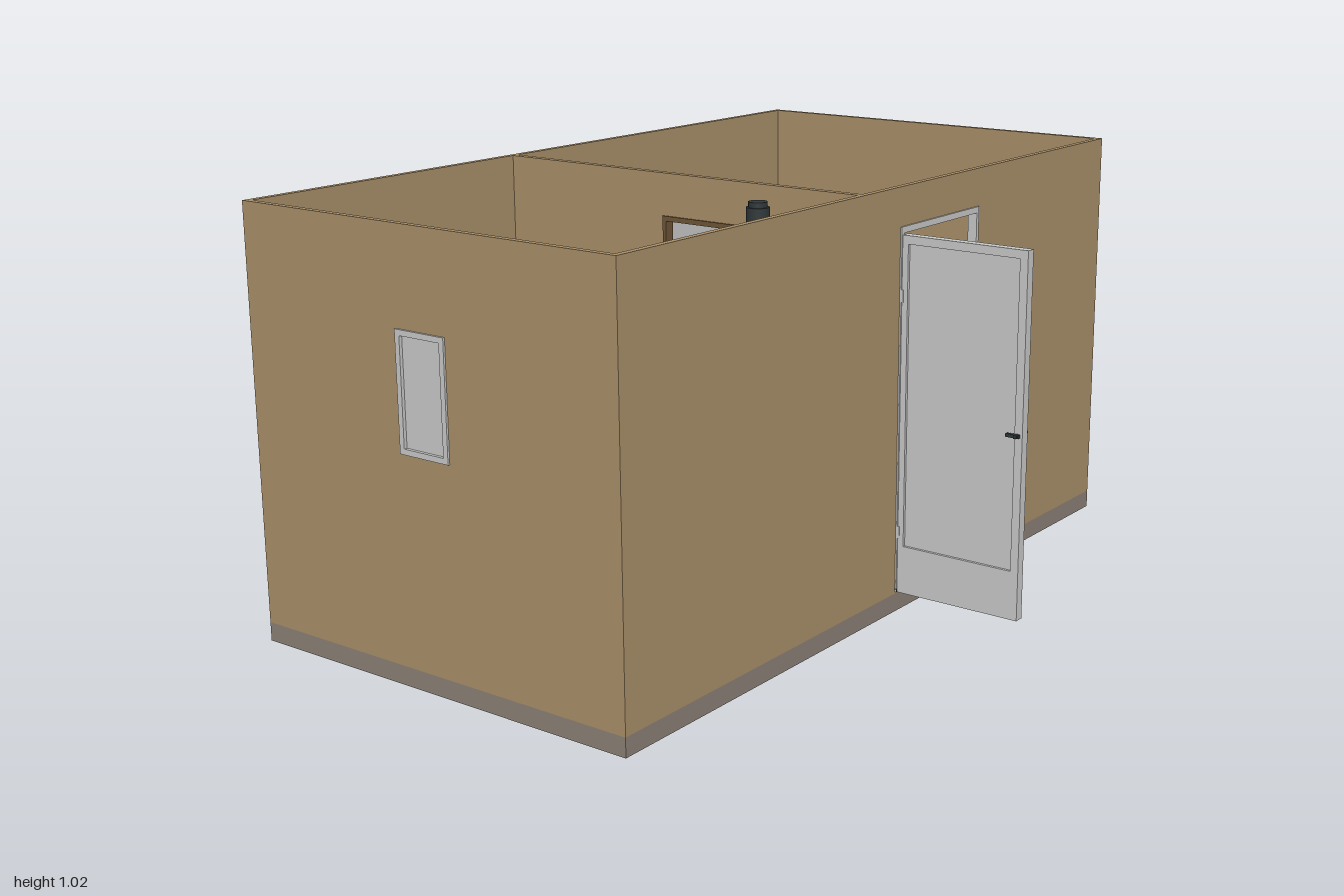
import * as THREE from 'three';
import { RoundedBoxGeometry } from 'three/addons/geometries/RoundedBoxGeometry.js';

const mat = (name, color) => {
  const m = new THREE.MeshStandardMaterial({ color });
  m.name = name;
  return m;
};

export function createModel() {
  const wood = mat('wood', 0xa98f68);
  const plinth = mat('plinth', 0x8b8176);
  const pale = mat('pale grey', 0xc8cac8);
  const iron = mat('dark iron', 0x30383a);
  const stone = mat('stove stone', 0x4a4e4e);
  const brown = mat('dark wood', 0x6e5437);
  const root = new THREE.Group();
  root.name = 'saunaCabin';

  const group = (name) => {
    const g = new THREE.Group();
    g.name = name;
    root.add(g);
    return g;
  };
  const add = (parent, name, geo, m, x = 0, y = 0, z = 0) => {
    const mesh = new THREE.Mesh(geo, m);
    mesh.name = name;
    mesh.position.set(x, y, z);
    parent.add(mesh);
    return mesh;
  };
  // Box given by its limits on each axis
  const box = (parent, name, m, x0, x1, y0, y1, z0, z1) =>
    add(parent, name, new THREE.BoxGeometry(x1 - x0, y1 - y0, z1 - z0), m, (x0 + x1) / 2, (y0 + y1) / 2, (z0 + z1) / 2);
  // Upright slab with rectangular holes; across 'z' spans x, across 'x' spans z
  const slab = (parent, name, m, across, from, to, [u0, u1, y0, y1], holes = []) => {
    const rect = (P, [a, b, c, d]) => new P().moveTo(a, c).lineTo(b, c).lineTo(b, d).lineTo(a, d).closePath();
    const shape = rect(THREE.Shape, [u0, u1, y0, y1]);
    holes.forEach((h) => shape.holes.push(rect(THREE.Path, h)));
    const geo = new THREE.ExtrudeGeometry(shape, { depth: to - from, bevelEnabled: false });
    if (across === 'x') geo.rotateY(-Math.PI / 2).translate(to, 0, 0);
    else geo.translate(0, 0, from);
    return add(parent, name, geo, m);
  };
  const ring = (parent, name, m, across, from, to, [a, b, c, d], w) =>
    slab(parent, name, m, across, from, to, [a, b, c, d], [[a + w, b - w, c + w, d - w]]);

  // Shell
  const X0 = -0.995, X1 = 0.99, Z0 = -0.695, Z1 = 0.365, T = 0.015, H = 1.022, F = 0.05;
  const shell = group('shell');
  box(shell, 'foundation', plinth, X0, X1, 0, 0.045, Z0, Z1);
  box(shell, 'floor', wood, X0 + T, X1 - T, 0.045, F, Z0 + T, Z1 - T);
  const frontDoor = [0, 0.345, F, 0.93], innerDoor = [-0.2, 0.095, F, 0.92];
  const rightWin = [-0.485, -0.22, 0.4, 0.665], leftWin = [-0.235, -0.095, 0.53, 0.8];
  slab(shell, 'frontWall', wood, 'z', Z1 - T, Z1, [X0, X1, 0.045, H], [frontDoor]);
  slab(shell, 'backWall', wood, 'z', Z0, Z0 + T, [X0, X1, 0.045, H]);
  slab(shell, 'leftWall', wood, 'x', X1 - T, X1, [Z0 + T, Z1 - T, 0.045, H], [rightWin]);
  slab(shell, 'rightWall', wood, 'x', X0, X0 + T, [Z0 + T, Z1 - T, 0.045, H], [leftWin]);
  slab(shell, 'partition', wood, 'x', -0.156, -0.138, [Z0 + T, Z1 - T, F, H], [innerDoor]);

  // Windows: frame and pane
  const windows = group('windows');
  ring(windows, 'windowFrame', pale, 'x', X1 - T - 0.005, X1 + 0.006, rightWin, 0.015);
  slab(windows, 'windowPane', pale, 'x', X1 - 0.008, X1 - 0.003, [-0.472, -0.233, 0.413, 0.652]);
  ring(windows, 'windowFrame', pale, 'x', X0 - 0.005, X0 + T + 0.005, leftWin, 0.013);
  slab(windows, 'windowPane', pale, 'x', X0 + 0.003, X0 + 0.008, [-0.224, -0.106, 0.541, 0.789]);

  // Front door, standing open
  const door = group('frontDoor');
  slab(door, 'doorFrame', pale, 'z', Z1 - T - 0.005, Z1 + 0.004, frontDoor, [[0.01, 0.335, F + 0.002, 0.915]]);
  box(door, 'threshold', iron, 0, 0.345, F, 0.058, 0.335, 0.37);
  slab(door, 'doorLeaf', pale, 'x', 0.002, 0.026, [0.37, 0.693, F, 0.912], [[0.385, 0.673, 0.167, 0.892]]);
  slab(door, 'doorPane', pale, 'x', 0.009, 0.019, [0.384, 0.674, 0.166, 0.893]);
  for (const x of [-0.004, 0.032]) {
    box(door, 'handleStem', iron, x - 0.008, x + 0.008, 0.486, 0.494, 0.677, 0.685);
    box(door, 'handleLever', iron, x - 0.004, x + 0.004, 0.486, 0.494, 0.655, 0.688);
  }
  for (const y of [0.2, 0.77]) box(door, 'hinge', pale, 0.0, 0.03, y - 0.015, y + 0.015, 0.366, 0.374);

  // Inner door, swung into the dressing room
  const inner = group('innerDoor');
  slab(inner, 'innerDoorFrame', brown, 'x', -0.16, -0.134, innerDoor, [[-0.19, 0.085, F + 0.002, 0.908]]);
  box(inner, 'innerDoorLeaf', pale, -0.134, 0.152, 0.055, 0.912, -0.209, -0.202);
  for (const z of [-0.218, -0.193]) {
    box(inner, 'innerHandle', brown, 0.117, 0.129, 0.462, 0.53, z - 0.004, z + 0.004);
    for (const y of [0.475, 0.517]) box(inner, 'handlePost', brown, 0.12, 0.126, y - 0.004, y + 0.004, Math.min(z, -0.205), Math.max(z, -0.205));
  }

  // Rows of planks running along x or z
  const GAP = 0.008;
  const planks = (parent, name, along, n, x0, x1, y0, y1, z0, z1) => {
    for (let i = 0; i < n; i++) {
      const [a, b] = along === 'x' ? [z0, z1] : [x0, x1];
      const step = (b - a + GAP) / n, p = a + i * step, q = p + step - GAP;
      if (along === 'x') box(parent, name, wood, x0, x1, y0, y1, p, q);
      else box(parent, name, wood, p, q, y0, y1, z0, z1);
    }
  };
  // Two-tier sauna benches in an L
  const sauna = group('saunaBenches');
  const xi = X0 + T, zi = Z0 + T, UP = 0.47, LOW = 0.26, PL = 0.016;
  planks(sauna, 'upperSlat', 'z', 7, xi, -0.69, UP - PL, UP, zi, 0.345);
  planks(sauna, 'upperSlat', 'x', 6, -0.682, -0.158, UP - PL, UP, zi, -0.415);
  planks(sauna, 'lowerSlat', 'z', 3, -0.682, -0.56, LOW - PL, LOW, -0.415, 0.345);
  planks(sauna, 'lowerSlat', 'x', 3, -0.552, -0.158, LOW - PL, LOW, -0.407, -0.287);
  const post = (x, z, top) => box(sauna, 'benchPost', wood, x - 0.012, x + 0.012, F, top - PL, z - 0.012, z + 0.012);
  box(sauna, 'upperRail', wood, -0.715, -0.695, UP - 0.055, UP - PL, zi, 0.34);
  box(sauna, 'upperRail', wood, -0.695, -0.16, UP - 0.055, UP - PL, -0.44, -0.42);
  box(sauna, 'lowerRail', wood, -0.585, -0.565, LOW - 0.055, LOW - PL, -0.3, 0.34);
  box(sauna, 'lowerRail', wood, -0.565, -0.16, LOW - 0.055, LOW - PL, -0.312, -0.292);
  for (const z of [-0.43, -0.05, 0.325]) post(-0.705, z, UP);
  for (const z of [-0.302, 0.02, 0.325]) post(-0.575, z, LOW);
  post(-0.18, -0.43, UP);
  post(-0.18, -0.302, LOW);

  // Stove with stones, flue and a fire tunnel through the partition
  const stove = group('stove');
  box(stove, 'stoveBody', iron, -0.405, -0.22, 0.08, 0.36, 0.12, 0.32);
  const rim = ring(stove, 'stoveRim', iron, 'z', 0, 0.05, [-0.41, -0.215, -0.325, -0.115], 0.02);
  rim.rotation.x = -Math.PI / 2;
  rim.position.y = 0.36;
  box(stove, 'fireTunnel', iron, -0.22, -0.132, 0.09, 0.3, 0.165, 0.275);
  box(stove, 'fireDoor', iron, -0.134, -0.126, 0.1, 0.28, 0.172, 0.268);
  box(stove, 'fireDoorHandle', iron, -0.126, -0.112, 0.17, 0.21, 0.18, 0.19);
  for (const x of [-0.39, -0.235]) for (const z of [0.135, 0.305]) box(stove, 'stoveLeg', iron, x - 0.01, x + 0.01, F, 0.08, z - 0.01, z + 0.01);
  const rock = new THREE.IcosahedronGeometry(0.02, 0);
  for (let i = 0; i < 5; i++) for (let j = 0; j < 5; j++) {
    const x = -0.374 + i * 0.03, z = 0.155 + j * 0.0325;
    if (Math.hypot(x + 0.35, z - 0.22) < 0.03) continue;
    const r = add(stove, 'stone', rock, stone, x, 0.39 + ((i * 3 + j * 2) % 4) * 0.007, z);
    r.rotation.set(i * 1.3, j * 0.9, i + j);
    r.scale.y = 0.8;
  }
  add(stove, 'flue', new THREE.CylinderGeometry(0.026, 0.026, 0.65, 24), iron, -0.35, 0.685, 0.22);
  add(stove, 'flueTop', new THREE.CylinderGeometry(0.021, 0.021, 0.02, 24), iron, -0.35, 1.012, 0.22);

  // Firewood basket by the fire door
  const basket = group('firewoodBasket');
  for (const [a, b, c, d] of [[-0.125, -0.119, 0.29, 0.34], [-0.056, -0.05, 0.29, 0.34], [-0.119, -0.056, 0.29, 0.296], [-0.119, -0.056, 0.334, 0.34]])
    box(basket, 'basketSide', iron, a, b, F, 0.13, c, d);
  for (let i = 0; i < 3; i++) box(basket, 'log', brown, -0.115 + i * 0.02, -0.1 + i * 0.02, F, 0.12, 0.3, 0.33);

  // Table and two benches in the dressing room
  const plankTable = (name, n, z0, z1, top) => {
    const g = group(name);
    planks(g, 'plank', 'x', n, 0.268, 0.972, top - 0.016, top, z0, z1);
    for (const x of [0.3, 0.94]) {
      box(g, 'crossRail', wood, x - 0.012, x + 0.012, top - 0.06, top - 0.016, z0 + 0.02, z1 - 0.02);
      for (const z of [z0 + 0.032, z1 - 0.032]) box(g, 'leg', wood, x - 0.014, x + 0.014, F, top - 0.016, z - 0.014, z + 0.014);
    }
    box(g, 'stretcher', wood, 0.3, 0.94, top - 0.055, top - 0.03, (z0 + z1) / 2 - 0.01, (z0 + z1) / 2 + 0.01);
    return g;
  };
  const table = plankTable('table', 4, -0.46, -0.217, 0.385);
  for (const [z0, z1] of [[-0.68, -0.483], [-0.195, 0]]) {
    const bench = plankTable('bench', 4, z0, z1, 0.245);
    add(bench, 'pillow', new RoundedBoxGeometry(0.208, 0.066, 0.138, 5, 0.032), pale, 0.408, 0.278, (z0 + z1) / 2 + 0.002);
  }
  // Crockery
  const bowl = [[0, 0], [0.025, 0], [0.03, 0.006], [0.052, 0.022], [0.048, 0.022], [0.026, 0.009], [0, 0.008]].map((p) => new THREE.Vector2(...p));
  add(table, 'bowl', new THREE.LatheGeometry(bowl, 28), pale, 0.62, 0.385, -0.34).scale.z = 0.65;
  add(table, 'jug', new THREE.CylinderGeometry(0.013, 0.016, 0.04, 20), pale, 0.62, 0.412, -0.34);
  for (const [x, z] of [[0.54, -0.305], [0.685, -0.3]])
    add(table, 'cup', new THREE.SphereGeometry(0.02, 16, 10), pale, x, 0.393, z).scale.set(1, 0.5, 0.7);

  // Cabinet against the partition
  const cabinet = group('cabinet');
  box(cabinet, 'cabinetBody', wood, -0.138, -0.008, F, 0.462, zi, -0.338);
  box(cabinet, 'cabinetTop', wood, -0.138, -0.002, 0.462, 0.48, zi, -0.33);

  // Corner stand with a pale box below its top
  const stand = group('cornerStand');
  box(stand, 'standTop', wood, 0.837, 0.96, 0.68, 0.7, 0.17, 0.342);
  for (const x of [0.85, 0.947]) for (const z of [0.184, 0.328]) box(stand, 'standLeg', wood, x - 0.01, x + 0.01, F, 0.68, z - 0.01, z + 0.01);
  box(stand, 'standBox', pale, 0.864, 0.935, F, 0.66, 0.2, 0.335);
  return root;
}
